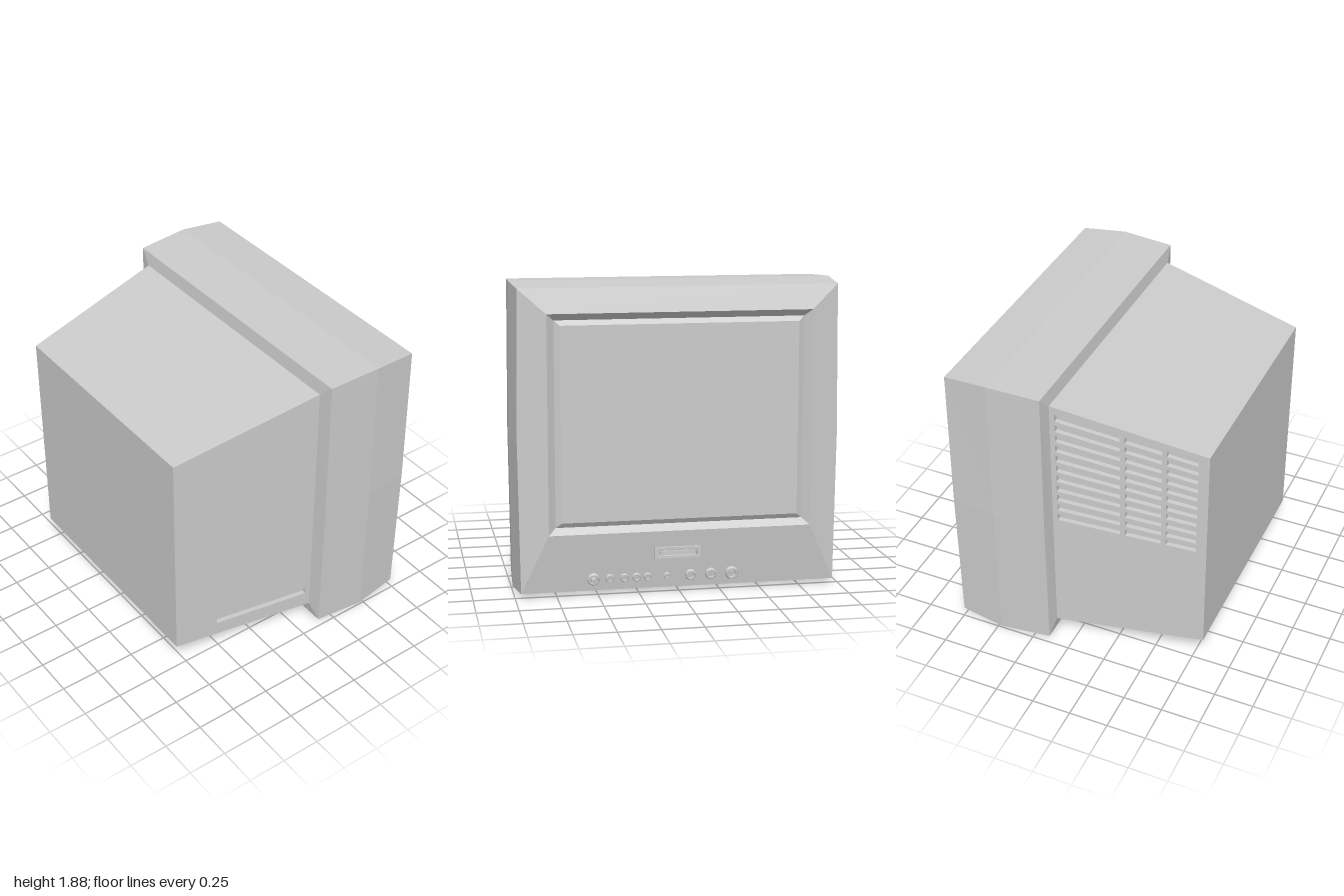
import * as THREE from 'three';

const grey = new THREE.MeshStandardMaterial({ color: 0xcccccc, flatShading: true });
const lerp = THREE.MathUtils.lerp;

function part(name, geometry) {
  const mesh = new THREE.Mesh(geometry, grey);
  mesh.name = name;
  return mesh;
}

// Skin over rectangular rings [x, bottom, top, halfWidth, sideBulge], ordered along the surface.
function loft(rings, capStart, capEnd) {
  const loops = rings.map(([x, y0, y1, w, b = 0]) => {
    const m = (y0 + y1) / 2;
    return [[x, y0, w], [x, y0, -w], [x, m, -w - b], [x, y1, -w], [x, y1, w], [x, m, w + b]];
  });
  const pos = [];
  const tri = (a, b, c) => pos.push(...a, ...b, ...c);
  for (let i = 0; i < loops.length - 1; i++) {
    for (let j = 0; j < 6; j++) {
      const k = (j + 1) % 6, p = loops[i], q = loops[i + 1];
      tri(p[j], p[k], q[k]);
      tri(p[j], q[k], q[j]);
    }
  }
  const first = loops[0], last = loops[loops.length - 1];
  for (let j = 1; j < 5; j++) {
    if (capStart) tri(first[0], first[j + 1], first[j]);
    if (capEnd) tri(last[0], last[j], last[j + 1]);
  }
  const g = new THREE.BufferGeometry();
  g.setAttribute('position', new THREE.Float32BufferAttribute(pos, 3));
  g.computeVertexNormals();
  return g;
}

// Tapered rear shell, from its back end to the bezel
const BACK = -0.82, FRONT = 0.13, SKIN = 0.03;
const along = (x, a, b) => lerp(a, b, (x - BACK) / (FRONT - BACK));
const shellBottom = x => along(x, 0.17, 0.11);
const shellTop = x => along(x, 1.6, 1.78);
const shellHalf = x => along(x, 0.752, 0.885);

function rect(Type, x0, x1, y0, y1) {
  return new Type([[x0, y0], [x1, y0], [x1, y1], [x0, y1]].map(p => new THREE.Vector2(...p)));
}

// Side wall with openings [x0, x1, v0, v1]; v is the fraction of the wall height
function sideWall(side, openings) {
  const put = (T, a, b, v0, v1) => rect(T, Math.min(a * side, b * side), Math.max(a * side, b * side), v0, v1);
  const shape = put(THREE.Shape, BACK, FRONT, 0, 1);
  shape.holes = openings.map(o => put(THREE.Path, ...o));
  const g = new THREE.ExtrudeGeometry(shape, { depth: SKIN, bevelEnabled: false });
  const p = g.attributes.position;
  for (let i = 0; i < p.count; i++) {
    const x = p.getX(i) * side;
    const y = lerp(shellBottom(x), shellTop(x), p.getY(i));
    p.setXYZ(i, x, y, side * (shellHalf(x) - SKIN + p.getZ(i)));
  }
  g.computeVertexNormals();
  return g;
}

// Round control: a rim around a sunken face, with an optional centre pin
function button(r, h, pin) {
  const pts = [[r, -0.01], [r, h * 0.6], [r * 0.85, h], [r * 0.65, h], [r * 0.6, h * 0.4]];
  if (pin) pts.push([r * 0.4, h * 0.4], [r * 0.4, pin], [0, pin]);
  else pts.push([0, h * 0.4]);
  const g = new THREE.LatheGeometry(pts.map(p => new THREE.Vector2(...p)), 16);
  return g.rotateX(Math.PI / 2);
}

export function createModel() {
  const model = new THREE.Group();
  model.name = 'television';

  // Rear housing: core plus the two outer side walls
  const housing = new THREE.Group();
  housing.name = 'rearHousing';
  const ring = x => [x, shellBottom(x), shellTop(x), shellHalf(x) - SKIN];
  housing.add(part('housingCore', loft([ring(BACK), ring(FRONT)], true, true)));
  const vents = [];
  for (let row = 0; row < 11; row++) {
    const v = 0.955 - row * 0.0445;
    for (const [x0, x1] of [[-0.29, 0.1], [-0.54, -0.32], [-0.755, -0.57]]) {
      vents.push([x0, x1, v - 0.014, v + 0.014]);
    }
  }
  housing.add(part('ventedSideWall', sideWall(-1, vents)));
  housing.add(part('slottedSideWall', sideWall(1, [[-0.54, 0.1, 0.06, 0.088]])));
  model.add(housing);

  // Front bezel, running round to the sunken screen opening
  model.add(part('bezel', loft([
    [0.13, 0.11, 1.78, 0.885],
    [0.145, 0.022, 1.865, 0.97, 0.008],
    [0.48, 0, 1.88, 0.99, 0.01],
    [0.765, 0.03, 1.857, 0.965, 0.012],
    [0.815, 0.39, 1.71, 0.8],
    [0.78, 0.43, 1.67, 0.755],
  ], true, false)));

  // Screen with bevelled edges
  model.add(part('screen', loft([
    [0.78, 0.43, 1.67, 0.755],
    [0.8, 0.46, 1.64, 0.72],
  ], false, true)));

  // Front badge plate: raised frame with a recessed bar
  const frameShape = rect(THREE.Shape, -0.14, 0.14, -0.035, 0.035);
  frameShape.holes = [rect(THREE.Path, -0.12, 0.12, -0.02, 0.022)];
  const frame = part('plateFrame', new THREE.ExtrudeGeometry(frameShape, { depth: 0.04, bevelEnabled: false }));
  const bar = part('plateBar', new THREE.BoxGeometry(0.21, 0.024, 0.035));
  bar.position.set(0, -0.003, 0.0185);
  const plate = new THREE.Group();
  plate.name = 'frontPlate';
  plate.add(frame, bar);
  plate.position.set(0.775, 0.255, 0.02);
  plate.rotation.y = Math.PI / 2;
  model.add(plate);

  // Row of controls on the sloping lower panel: [z, radius, height, pin]
  const controls = new THREE.Group();
  controls.name = 'controls';
  controls.position.set(0.7754, 0.105, 0);
  controls.rotation.set(Math.atan2(0.05, 0.36), Math.PI / 2, 0, 'YXZ');
  [
    [0.53, 0.038, 0.022, 0.044], [0.43, 0.027, 0.016], [0.342, 0.027, 0.016],
    [0.267, 0.027, 0.016], [0.2, 0.025, 0.016], [0.08, 0.02, 0.012],
    [-0.065, 0.033, 0.02], [-0.19, 0.035, 0.02], [-0.32, 0.04, 0.024, 0.016],
  ].forEach(([z, r, h, pin]) => {
    const b = part('controlButton', button(r, h, pin));
    b.position.x = -z;
    controls.add(b);
  });
  model.add(controls);

  return model;
}
